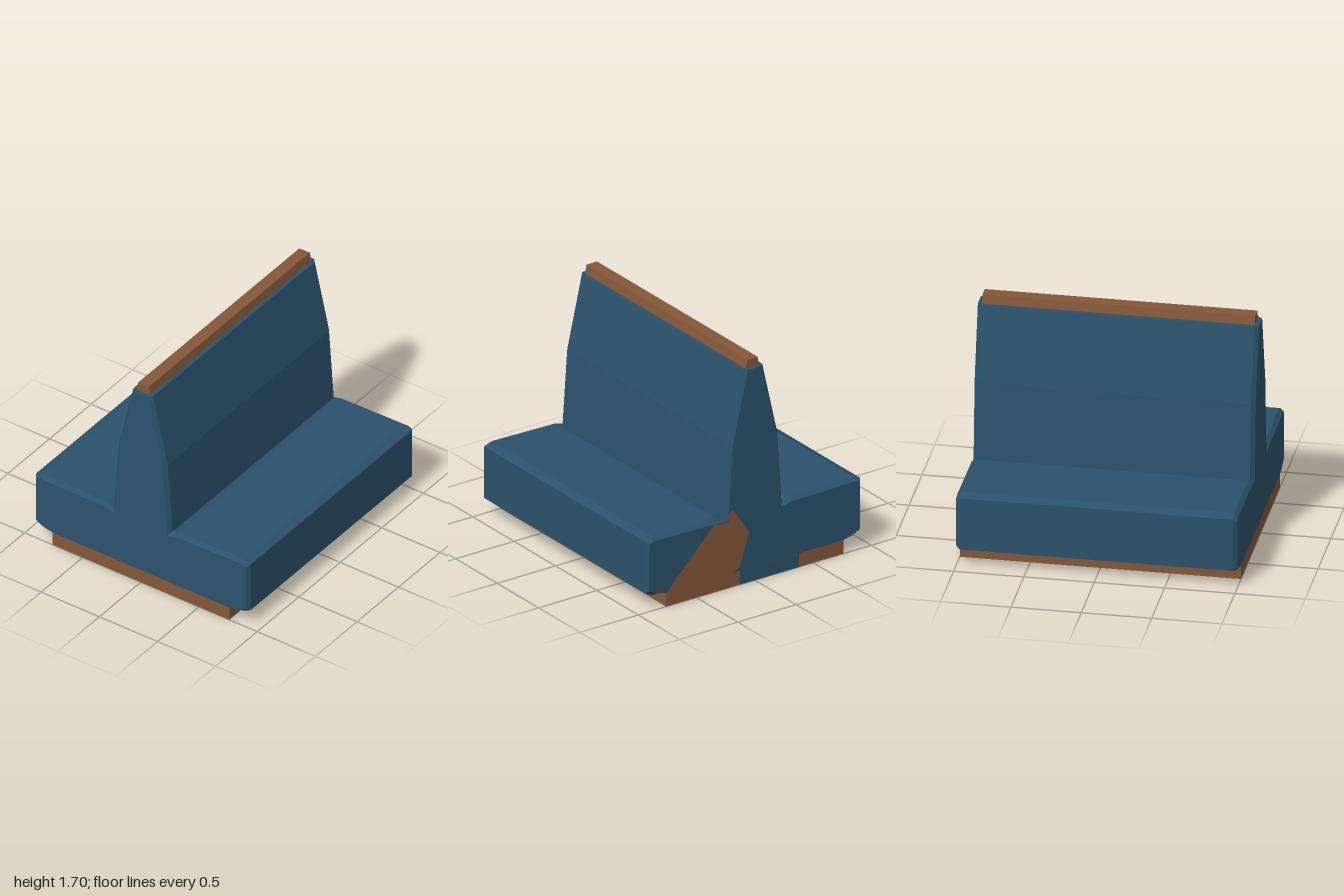
import * as THREE from 'three';

const blue = new THREE.MeshStandardMaterial({ color: 0x2b526c, flatShading: true });
const brown = new THREE.MeshStandardMaterial({ color: 0x855838, flatShading: true });

// Mirrors a half profile of [z, y] points into a closed outline
const mirror = (half) => [...half, ...half.map(([z, y]) => [-z, y]).reverse()];

// Skins a series of [x, outline] sections and closes both ends
function loft(sections) {
  const n = sections[0][1].length;
  const pos = sections.flatMap(([x, pts]) => pts.flatMap(([z, y]) => [x, y, z]));
  const index = [];
  for (let s = 0; s < sections.length - 1; s++) {
    for (let i = 0; i < n; i++) {
      const j = (i + 1) % n, a = s * n, b = a + n;
      index.push(a + i, b + i, b + j, a + i, b + j, a + j);
    }
  }
  const last = (sections.length - 1) * n;
  const outline = (pts) => pts.map(([z, y]) => new THREE.Vector2(z, y));
  for (const [a, b, c] of THREE.ShapeUtils.triangulateShape(outline(sections[0][1]), [])) {
    index.push(a, b, c, last + a, last + c, last + b);
  }
  const indexed = new THREE.BufferGeometry();
  indexed.setAttribute('position', new THREE.Float32BufferAttribute(pos, 3));
  indexed.setIndex(index);
  const geo = indexed.toNonIndexed();
  geo.computeVertexNormals();
  return geo;
}

// Flat panel of [z, y] points lying on the +x end
function endPanel(pts) {
  const shape = new THREE.Shape(pts.map(([z, y]) => new THREE.Vector2(-z, y)));
  return new THREE.ShapeGeometry(shape).rotateY(Math.PI / 2).translate(1.002, 0, 0);
}

export function createModel() {
  const group = new THREE.Group();
  const add = (name, geo, mat) => {
    const mesh = new THREE.Mesh(geo, mat);
    mesh.name = name;
    group.add(mesh);
  };

  // Back-to-back seats and shared backrest, chamfered at both ends
  const outer = mirror([[0.76, 0.105], [0.86, 0.105], [0.922, 0.135], [0.922, 0.532], [0.86, 0.557],
    [0.31, 0.547], [0.25, 0.527], [0.21, 1.09], [0.085, 1.635]]);
  const inner = mirror([[0.76, 0.105], [0.845, 0.125], [0.903, 0.155], [0.903, 0.515], [0.87, 0.53],
    [0.31, 0.522], [0.225, 0.505], [0.185, 1.09], [0.06, 1.635]]);
  add('upholstery', loft([[-1, inner], [-0.97, outer], [0.97, outer], [1, inner]]), blue);

  // Plinth under the seats
  add('base', new THREE.BoxGeometry(2, 0.105, 1.52).translate(0, 0.0525, 0), brown);

  // Tapered rail along the top of the backrest
  const rail = mirror([[0.06, 1.62], [0.045, 1.7]]);
  add('topRail', loft([[-0.97, rail], [0.97, rail]]), brown);

  // Coloured areas on the left end
  add('endTrim', endPanel([[0.76, 0.105], [0.35, 0.52], [0.225, 0.505], [0.21, 0.59], [0.185, 0.59],
    [0.05, 0.385], [0.13, 0.14], [0.19, 0.105]]), brown);
  add('endInfill', endPanel([[0.13, 0], [0.13, 0.105], [-0.38, 0.105], [-0.38, 0]]), blue);

  return group;
}
